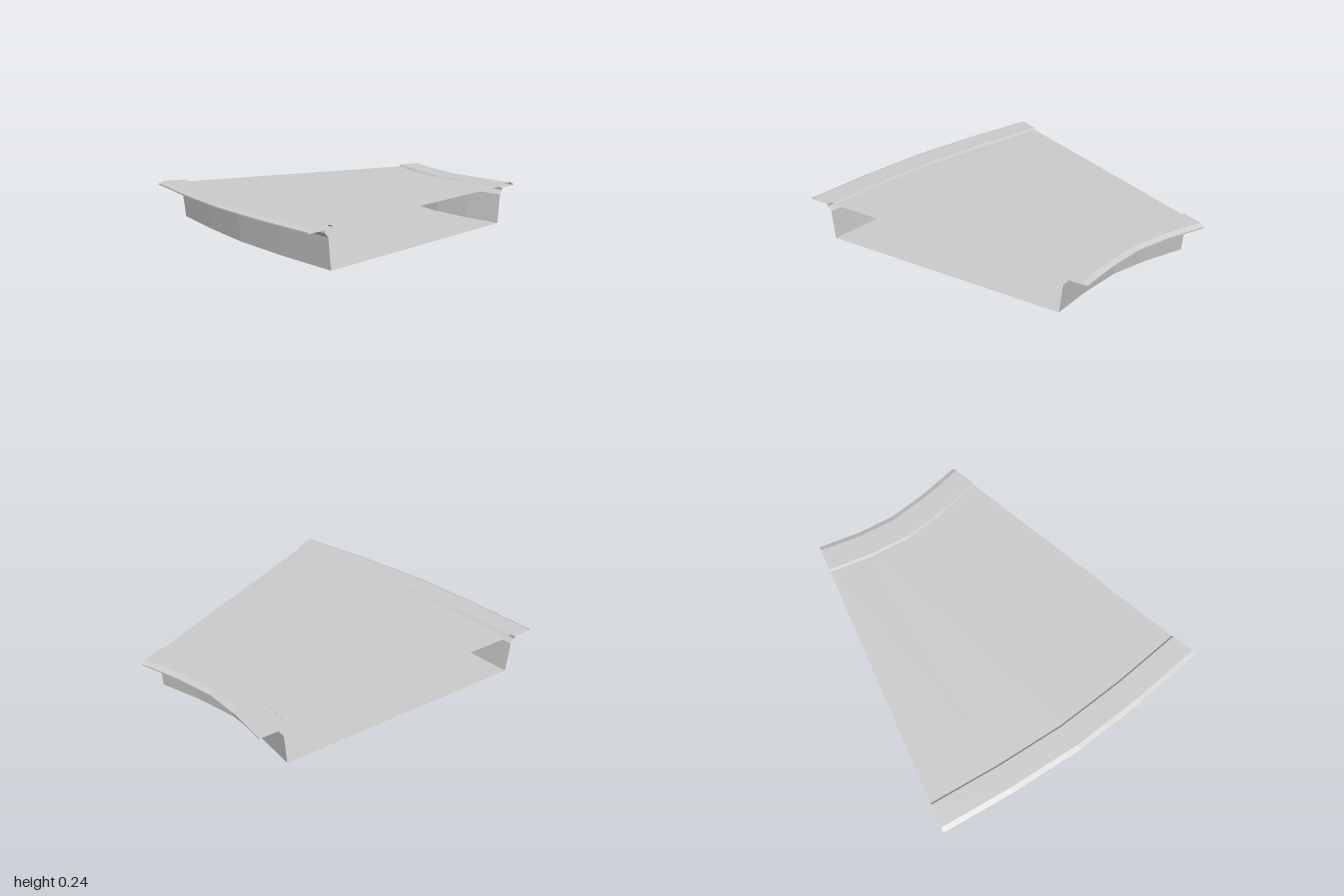
import * as THREE from 'three';

// Plan of the bend: outer and inner rim [x, z] at each station, back to front
const outerRim = [[-1, -0.86], [-0.96, -0.42], [-0.9, 0.01], [-0.8, 0.44], [-0.68, 0.855]];
const innerRim = [[0.85, -0.86], [0.84, -0.62], [0.855, -0.39], [0.92, -0.15], [1, 0.07]];

// Half sections as [distance in from the rim, height]
const wall = [[0.165, 0], [0.145, 0.175], [0.12, 0.2], [0.122, 0.215]];
const coping = [[0.122, 0.215], [0, 0.215], [0, 0.223], [0.03, 0.237], [0.165, 0.237], [0.176, 0.224]];

const left = (profile) => profile.map(([d, y]) => ['left', d, y]);
const right = (profile) => profile.map(([d, y]) => ['right', d, y]).reverse();

// Position of a section point at one station
function place(station, [side, d, y]) {
  const a = new THREE.Vector2(...outerRim[station]);
  const b = new THREE.Vector2(...innerRim[station]);
  const across = b.clone().sub(a).normalize();
  const p = side === 'left' ? a.addScaledVector(across, d) : b.addScaledVector(across, -d);
  return [p.x, y, p.y];
}

// Sweep a section along the bend
function sweep(name, section, material) {
  const positions = [];
  const index = [];
  const n = section.length;
  outerRim.forEach((_, i) => {
    section.forEach((point, j) => {
      positions.push(...place(i, point));
      if (i === outerRim.length - 1 || j === n - 1) return;
      const k = i * n + j;
      index.push(k, k + n, k + 1, k + 1, k + n, k + n + 1);
    });
  });
  const geometry = new THREE.BufferGeometry();
  geometry.setAttribute('position', new THREE.Float32BufferAttribute(positions, 3));
  geometry.setIndex(index);
  geometry.computeVertexNormals();
  const mesh = new THREE.Mesh(geometry, material);
  mesh.name = name;
  return mesh;
}

export function createModel() {
  const group = new THREE.Group();
  group.name = 'curvedWalkway';
  const material = new THREE.MeshStandardMaterial({
    color: 0xcccccc, flatShading: true, side: THREE.DoubleSide,
  });

  // Side walls and overhanging copings
  for (const [label, half] of [['left', left], ['right', right]]) {
    const edge = label === 'left' ? 'outer' : 'inner';
    group.add(sweep(edge + 'Wall', half(wall), material));
    group.add(sweep(edge + 'Coping', half(coping), material));
  }

  // Deck between the copings and floor between the walls; the ends stay open
  group.add(sweep('deck', [['left', 0.176, 0.224], ['right', 0.176, 0.224]], material));
  group.add(sweep('floor', [['right', 0.165, 0], ['left', 0.165, 0]], material));
  return group;
}
